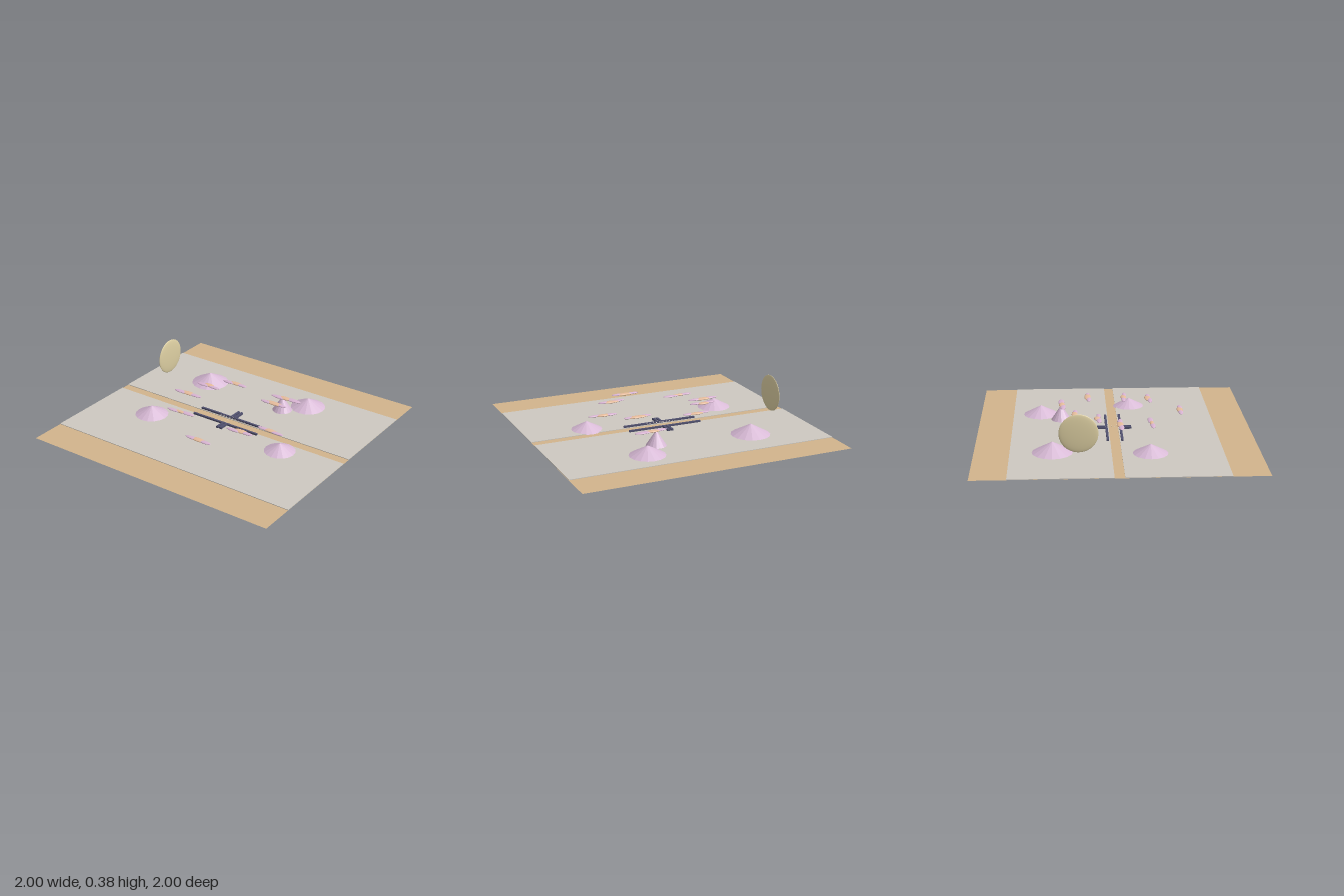
import * as THREE from 'three';

export function createModel() {
  const model = new THREE.Group();
  const mat = (name, color, extra = {}) => {
    const m = new THREE.MeshStandardMaterial({ color, ...extra });
    m.name = name;
    return m;
  };
  const sand = mat('sand', 0xd2b48c, { side: THREE.DoubleSide });
  const water = mat('pale water', 0xcdc8c0);
  const mauve = mat('mauve hill', 0xd8bad6, { flatShading: true });
  const pink = mat('pink cloud', 0xd8b4d2);
  const peach = mat('peach cloud', 0xe6bc9c);
  const gold = mat('pale gold', 0xddcfa2);
  const slate = mat('dark slate', 0x50506e);
  const ivory = mat('ivory', 0xf0e6d8);

  const add = (name, geo, material, x, y, z, parent = model) => {
    const mesh = new THREE.Mesh(geo, material);
    mesh.name = name;
    mesh.position.set(x, y, z);
    parent.add(mesh);
    return mesh;
  };
  const box = (name, material, w, h, d, x, y, z, parent) =>
    add(name, new THREE.BoxGeometry(w, h, d), material, x, y, z, parent);

  // ground sheet with a water slab on each side of the central strip
  add('ground', new THREE.PlaneGeometry(2, 2).rotateX(-Math.PI / 2), sand, 0, 0.015, 0);
  for (const [z0, z1] of [[-0.75, -0.04], [0.03, 0.743]])
    box('waterSlab', water, 2, 0.004, z1 - z0, 0, 0.0175, (z0 + z1) / 2);

  // hills: x, z, radius, height
  for (const [x, z, r, h] of [
    [-0.497, -0.452, 0.18, 0.098],
    [0.353, -0.543, 0.167, 0.09],
    [-0.543, 0.23, 0.16, 0.087],
    [0.54, 0.137, 0.15, 0.08],
    [0.22, -0.39, 0.088, 0.133],
  ]) add('hill', new THREE.ConeGeometry(r, h, 16), mauve, x, h / 2, z);

  // sun: a flattened upright ball
  add('sunDisc', new THREE.SphereGeometry(0.134, 40, 24), gold, -0.755, 0.245, -0.272).scale.x = 0.1;

  // clouds: centre, then puffs of [offset x, offset z, half width, half depth, material]
  const puff = new THREE.SphereGeometry(1, 20, 12);
  const clouds = [
    [0.09, 0.125, 0.495, [[-0.05, 0, 0.06, 0.018, pink], [0, -0.002, 0.065, 0.023, peach], [0.055, 0.002, 0.053, 0.018, pink]]],
    [0.29, 0.155, 0.27, [[-0.05, 0.01, 0.06, 0.017, pink], [0.005, -0.004, 0.062, 0.024, peach], [0.05, 0, 0.055, 0.018, pink]]],
    [-0.245, 0.14, 0.258, [[-0.06, 0.005, 0.06, 0.018, pink], [-0.01, 0.001, 0.055, 0.015, peach], [0.055, -0.005, 0.063, 0.02, pink]]],
    [0.43, 0.122, 0.093, [[-0.055, -0.005, 0.055, 0.018, pink], [-0.005, -0.004, 0.055, 0.021, peach], [0.055, 0.004, 0.055, 0.016, pink]]],
    [-0.35, 0.165, 0.03, [[-0.06, 0.005, 0.06, 0.019, pink], [0, -0.002, 0.06, 0.024, peach], [0.06, 0, 0.06, 0.018, pink]]],
    [-0.27, 0.187, -0.123, [[-0.05, 0.003, 0.055, 0.018, pink], [-0.005, -0.01, 0.045, 0.021, peach], [0.05, 0.002, 0.05, 0.016, pink]]],
    [0.275, 0.175, -0.187, [[-0.055, 0.005, 0.055, 0.017, pink], [0, -0.002, 0.08, 0.024, peach], [0.055, 0, 0.05, 0.016, pink]]],
    [-0.142, 0.175, -0.287, [[-0.05, 0.005, 0.055, 0.018, pink], [0.005, -0.004, 0.06, 0.022, peach], [0.055, 0, 0.05, 0.017, pink]]],
    [0.255, 0.125, -0.382, [[-0.06, 0.006, 0.065, 0.02, pink], [-0.01, -0.002, 0.06, 0.022, peach], [0.06, -0.006, 0.065, 0.023, pink]]],
  ];
  for (const [x, y, z, puffs] of clouds) {
    const cloud = new THREE.Group();
    cloud.name = 'cloud';
    cloud.position.set(x, y, z);
    for (const [dx, dz, rx, rz, m] of puffs)
      add('cloudPuff', puff, m, dx, 0, dz, cloud).scale.set(rx, m === peach ? 0.008 : 0.007, rz);
    model.add(cloud);
  }

  // dark crossing: two long rails, each with a paired pier running outward
  const crossing = new THREE.Group();
  crossing.name = 'crossing';
  model.add(crossing);
  for (const [z, end] of [[-0.057, -0.152], [0.047, 0.122]]) {
    const side = Math.sign(z);
    box('rail', slate, 0.57, 0.012, 0.017, 0, 0.0255, z, crossing);
    for (const x of [-0.014, 0.014])
      box('pier', slate, 0.018, 0.014, Math.abs(end - z) + 0.008, x, 0.0265, (z + end) / 2, crossing);
    for (let i = 0; i < 4; i++)
      box('pierTie', slate, 0.03, 0.01, 0.012, 0, 0.0245, z + (end - z) * (i + 0.5) / 4, crossing);
    // small lamps along the inner side of the rail
    for (let i = -4; i <= 4; i++)
      box('railLamp', ivory, 0.008, 0.004, 0.004, i * 0.026, 0.027, z - side * 0.0095, crossing);
  }

  // tiny specks hovering over the middle
  const speck = new THREE.SphereGeometry(0.003, 8, 6);
  for (let i = 0; i < 8; i++)
    add('speck', speck, ivory, i % 2 ? 0.012 : -0.012, 0.032 + (i % 3) * 0.003, -0.065 + i * 0.016);

  return model;
}
